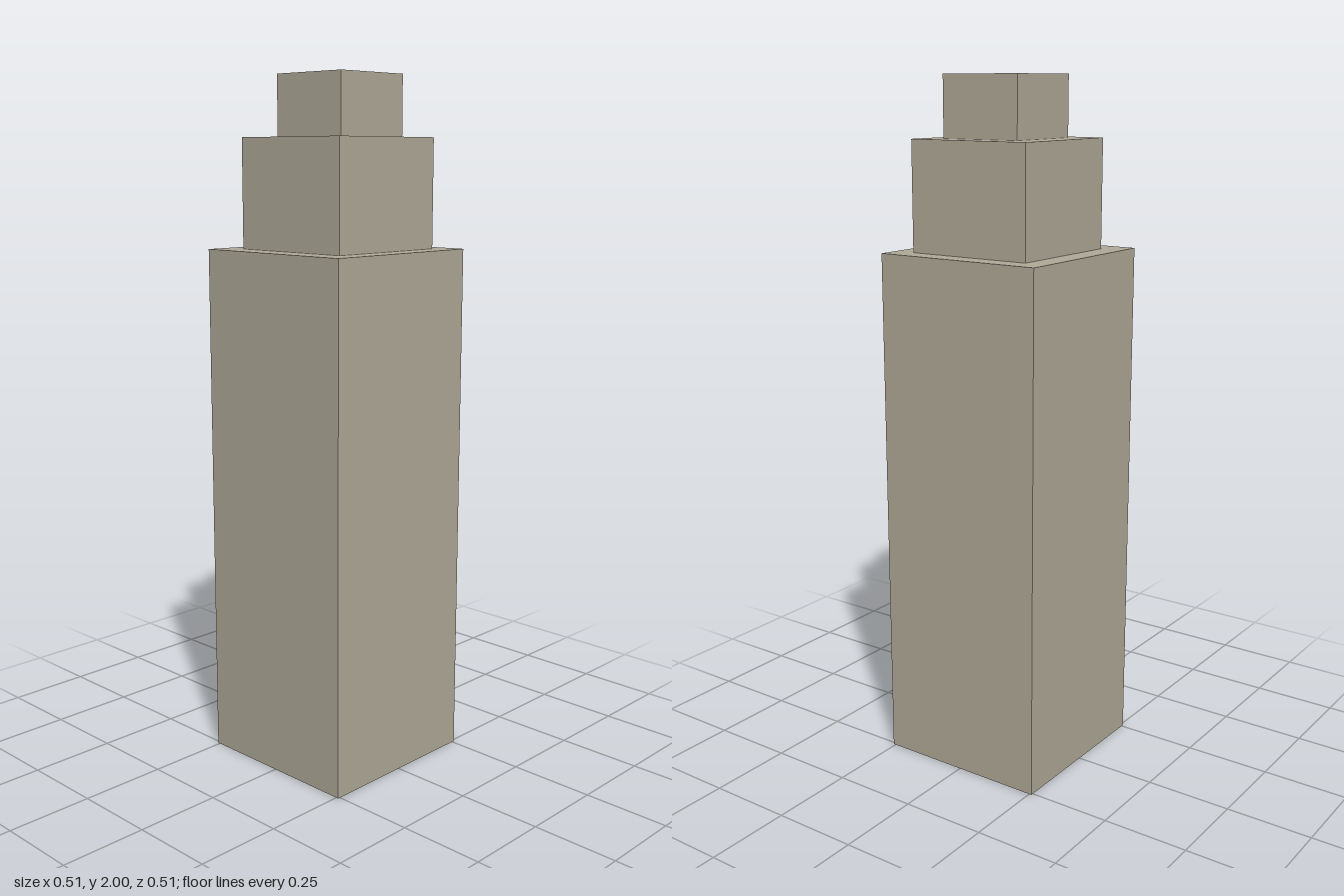
import * as THREE from 'three';

export function createModel() {
  const model = new THREE.Group();
  model.name = 'steppedTower';

  const stone = new THREE.MeshStandardMaterial({ color: 0xb0a998 });
  stone.name = 'warm stone';

  // Tiers from the ground up: square width, bottom, top, and slight offset in x and z
  const tiers = [
    { name: 'mainShaft', width: 0.515, bottom: 0, top: 1.515, x: 0, z: 0 },
    { name: 'middleTier', width: 0.382, bottom: 1.515, top: 1.827, x: 0.004, z: 0.003 },
    { name: 'topTier', width: 0.248, bottom: 1.827, top: 2, x: 0.008, z: 0.007 },
  ];

  for (const { name, width, bottom, top, x, z } of tiers) {
    const tier = new THREE.Mesh(new THREE.BoxGeometry(width, top - bottom, width), stone);
    tier.name = name;
    tier.position.set(x, (bottom + top) / 2, z);
    model.add(tier);
  }

  return model;
}
